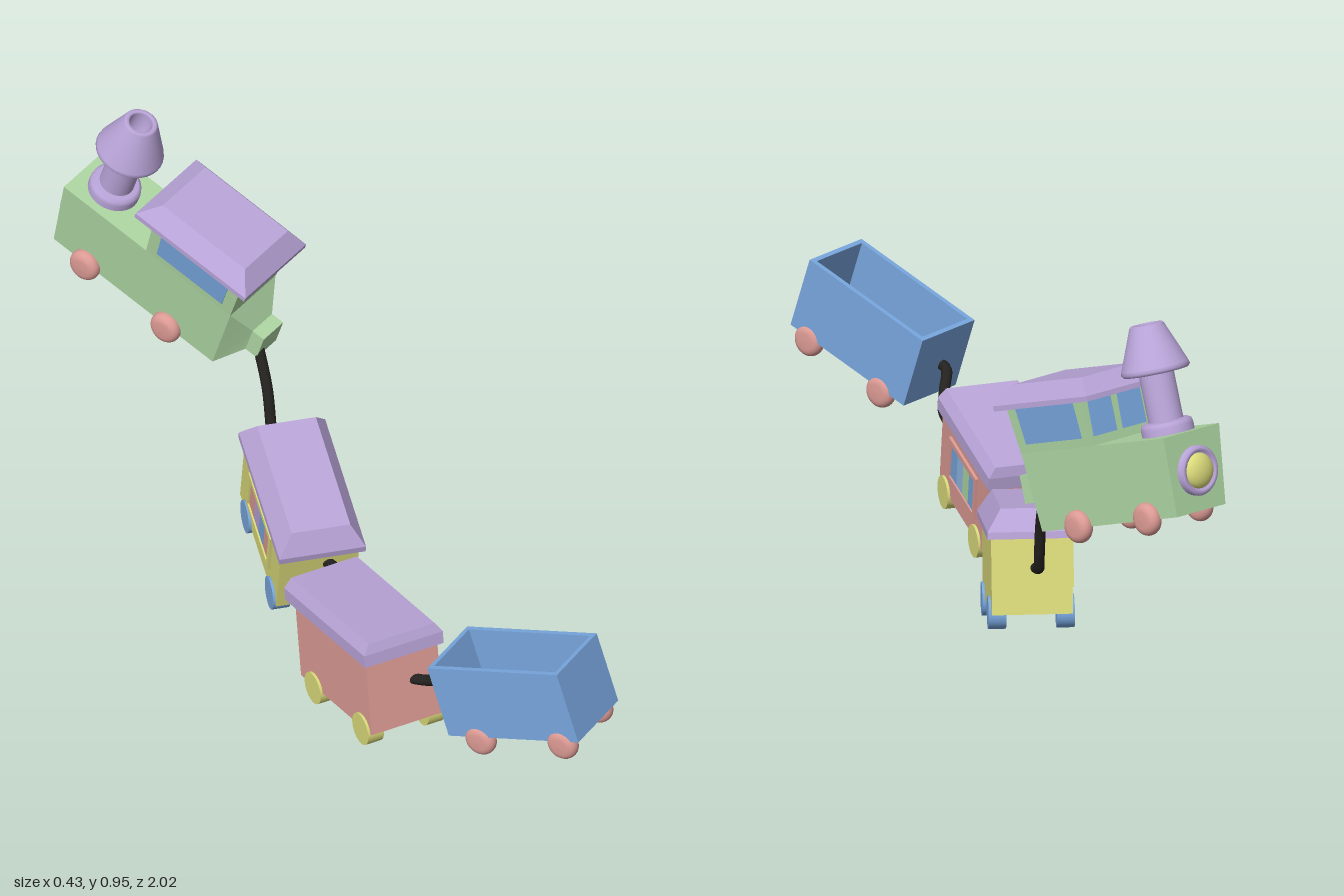
import * as THREE from 'three';

const COLORS = {
  green: 0xaed6a3, purple: 0xb9a4d8, pink: 0xdc9a94, yellow: 0xdad97a,
  blue: 0x78a6de, paleBlue: 0x8fb8e6, black: 0x24221f,
};
const mats = {};
function mat(name) {
  if (!mats[name]) {
    mats[name] = new THREE.MeshStandardMaterial({ color: COLORS[name], side: THREE.DoubleSide });
  }
  return mats[name];
}

function add(parent, name, geometry, color, x = 0, y = 0, z = 0) {
  const mesh = new THREE.Mesh(geometry, mat(color));
  mesh.name = name;
  mesh.position.set(x, y, z);
  parent.add(mesh);
  return mesh;
}

const box = (w, h, d) => new THREE.BoxGeometry(w, h, d);

// Six-sided block between two end sections.
// Section: [half width top, half width bottom, y top, y bottom, z top, z bottom]
function loft(front, back) {
  const g = box(1, 1, 1);
  const p = g.attributes.position;
  for (let i = 0; i < p.count; i++) {
    const s = p.getZ(i) < 0 ? front : back;
    const k = p.getY(i) > 0 ? 0 : 1;
    p.setXYZ(i, Math.sign(p.getX(i)) * s[k], s[2 + k], s[4 + k]);
  }
  g.computeVertexNormals();
  return g;
}

// Vehicle frame: local x = right, y = up, -z = forward
function vehicle(root, name, origin, forward, right) {
  const f = new THREE.Vector3(...forward).normalize();
  const r = new THREE.Vector3(...right);
  r.addScaledVector(f, -r.dot(f)).normalize();
  const u = new THREE.Vector3().crossVectors(r, f);
  const g = new THREE.Group();
  g.name = name;
  g.quaternion.setFromRotationMatrix(new THREE.Matrix4().makeBasis(r, u, f.clone().negate()));
  g.position.set(...origin);
  root.add(g);
  return g;
}

function roundedWheel(radius, t) {
  const pts = [];
  for (let i = 0; i <= 12; i++) {
    const a = -Math.PI / 2 + (i / 12) * Math.PI;
    pts.push(new THREE.Vector2(radius * Math.pow(Math.max(0, Math.cos(a)), 0.5), t * Math.sin(a)));
  }
  return new THREE.LatheGeometry(pts, 28).rotateZ(Math.PI / 2);
}

function wheels(parent, color, rounded, track, y, zs) {
  const geo = rounded ? roundedWheel(0.038, 0.02)
    : new THREE.CylinderGeometry(0.038, 0.038, 0.04, 28).rotateZ(Math.PI / 2);
  for (const z of zs) for (const side of [-1, 1]) add(parent, 'wheel', geo, color, side * track, y, z);
}

// Hipped roof with a straight lip
function roof(parent, w, z0, z1, y, lip, rise, insetX, insetZ) {
  const m = y + lip, t = m + rise;
  add(parent, 'roofLip', loft([w, w, m, y, z0, z0], [w, w, m, y, z1, z1]), 'purple');
  add(parent, 'roofTop', loft([w - insetX, w, t, m, z0 + insetZ, z0], [w - insetX, w, t, m, z1 - insetZ, z1]), 'purple');
}

// Closed carriage with one striped window on the given side
function carriage(car, color, wheelColor, side, stripes) {
  add(car, 'body', box(0.182, 0.183, 0.336), color);
  wheels(car, wheelColor, false, 0.077, -0.093, [-0.102, 0.125]);
  const w = 0.2, h = 0.105, x = side * 0.092, y = 0.012;
  stripes.forEach((c, i) => {
    const pw = (w - 0.03) / stripes.length;
    add(car, 'windowPane', box(0.004, h - 0.02, pw), c, x, y, (i - (stripes.length - 1) / 2) * pw);
  });
  for (const s of [-1, 1]) {
    add(car, 'windowFrame', box(0.012, 0.012, w), color, x, y + s * (h - 0.012) / 2, 0);
    add(car, 'windowFrame', box(0.012, h, 0.014), color, x, y, s * (w - 0.014) / 2);
  }
}

function openWagon(car) {
  const w = 0.178, h = 0.178, l = 0.354, t = 0.012;
  add(car, 'floor', box(w, t, l), 'blue', 0, -h / 2 + t / 2, 0);
  for (const s of [-1, 1]) {
    add(car, 'sideWall', box(t, h, l), 'blue', s * (w - t) / 2, 0, 0);
    add(car, 'endWall', box(w - 2 * t, h, t), 'blue', 0, 0, s * (l - t) / 2);
  }
  wheels(car, 'pink', true, 0.077, -0.101, [-0.1, 0.124]);
}

function lathe(points) {
  return new THREE.LatheGeometry(points.map(([x, y]) => new THREE.Vector2(x, y)), 32);
}

function engine(e) {
  // Body, tapered tail and hitch
  const rear = [0.086, 0.074, 0, -0.182, 0.485, 0.482];
  const tail = [0.037, 0.037, -0.055, -0.12, 0.53, 0.53];
  add(e, 'body', loft([0.086, 0.074, 0, -0.182, 0, 0.02], rear), 'green');
  add(e, 'tail', loft(rear, tail), 'green');
  add(e, 'hitch', box(0.074, 0.065, 0.035), 'green', 0, -0.0875, 0.545);

  // Cab with glazed front and sides
  add(e, 'cab', loft([0.1, 0.087, 0.12, 0, 0.235, 0.24], [0.1, 0.087, 0.12, 0, 0.49, 0.485]), 'green');
  add(e, 'sideWindows', loft([0.1, 0.0915, 0.105, 0.02, 0.265, 0.268], [0.1, 0.0915, 0.105, 0.02, 0.46, 0.457]), 'blue');
  for (const s of [-1, 1]) add(e, 'frontWindow', box(0.07, 0.082, 0.02), 'blue', s * 0.045, 0.062, 0.2445);
  roof(e, 0.116, 0.194, 0.514, 0.105, 0.012, 0.04, 0.034, 0.04);

  // Chimney: base ring, stack and open funnel
  const cx = -0.005, cz = 0.083;
  add(e, 'chimneyBase', lathe([[0, 0.03], [0.05, 0.03], [0.058, 0.025], [0.06, 0.015], [0.06, -0.005]].reverse()), 'purple', cx, 0, cz);
  add(e, 'chimneyStack', new THREE.CylinderGeometry(0.04, 0.04, 0.14, 32), 'purple', cx, 0.075, cz);
  const funnel = [[0, 0.14], [0.074, 0.14], [0.079, 0.146], [0.077, 0.154], [0.04, 0.246], [0.036, 0.25], [0.029, 0.25], [0.026, 0.246], [0.026, 0.18], [0, 0.18]];
  add(e, 'chimneyFunnel', lathe(funnel), 'purple', cx, 0, cz);

  // Headlight
  const lamp = new THREE.Group();
  lamp.name = 'headlight';
  lamp.position.set(0, -0.09, 0.01);
  lamp.rotation.x = -Math.PI / 2 - 0.11;
  e.add(lamp);
  add(lamp, 'lampRing', lathe([[0.057, -0.005], [0.057, 0.01], [0.052, 0.016], [0.044, 0.016], [0.04, 0.008], [0, 0.008]]), 'purple');
  add(lamp, 'lampLens', new THREE.SphereGeometry(0.041, 28, 10, 0, Math.PI * 2, 0, Math.PI / 2).scale(1, 0.55, 1), 'yellow', 0, 0.007, 0);

  wheels(e, 'pink', true, 0.08, -0.178, [0.115, 0.35]);
}

function hose(root, points) {
  const curve = new THREE.CatmullRomCurve3(points.map((p) => new THREE.Vector3(...p)));
  add(root, 'coupling', new THREE.TubeGeometry(curve, 40, 0.0125, 12), 'black');
}

export function createModel() {
  const root = new THREE.Group();
  root.name = 'toyTrain';

  engine(vehicle(root, 'engine', [-0.138, 0.73, -0.951], [-0.42, 0.34, -0.84], [0.9, 0.05, -0.43]));

  const yellowCar = vehicle(root, 'yellowCarriage', [0.02, 0.16, -0.237], [0.235, 0.235, -0.94], [0.97, 0, 0.243]);
  carriage(yellowCar, 'yellow', 'blue', -1, ['pink', 'purple', 'blue', 'pink']);
  roof(yellowCar, 0.1, -0.19, 0.19, 0.083, 0.016, 0.05, 0.032, 0.03);

  const pinkCar = vehicle(root, 'pinkCarriage', [-0.09, 0.155, 0.293], [0, -0.147, -0.989], [1, 0, 0]);
  carriage(pinkCar, 'pink', 'yellow', 1, ['blue', 'green', 'paleBlue', 'blue']);
  roof(pinkCar, 0.1, -0.2, 0.182, 0.091, 0.03, 0.024, 0.016, 0.006);

  openWagon(vehicle(root, 'blueWagon', [0.035, 0.361, 0.786], [-0.492, -0.306, -0.815], [0.858, 0.017, -0.514]));

  // Couplings between the vehicles
  hose(root, [[0.065, 0.45, -0.52], [0.06, 0.36, -0.465], [0.055, 0.26, -0.435], [0.05, 0.22, -0.415], [0.05, 0.21, -0.37]]);
  hose(root, [[-0.085, 0.135, 0.14], [-0.07, 0.14, 0.09], [-0.04, 0.16, 0.045], [-0.01, 0.172, 0], [0, 0.16, -0.04], [0, 0.15, -0.08]]);
  hose(root, [[-0.08, 0.19, 0.43], [-0.045, 0.2, 0.48], [-0.028, 0.23, 0.53], [-0.045, 0.265, 0.58], [-0.065, 0.295, 0.63], [-0.055, 0.3, 0.67]]);
  return root;
}
